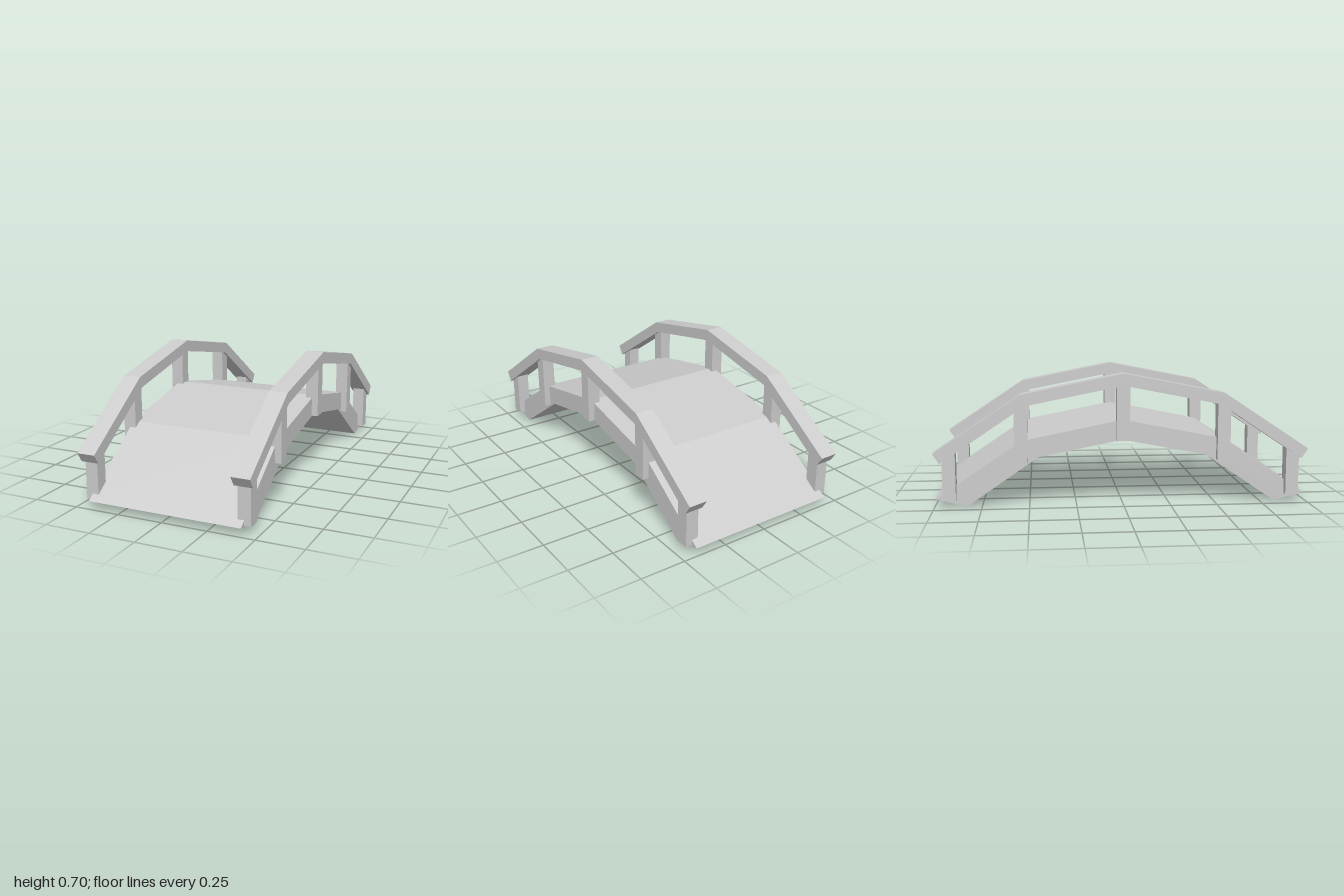
import * as THREE from 'three';

const material = new THREE.MeshStandardMaterial({ color: 0xcccccc, flatShading: true });

// Arched band: half profiles of [z, y] from the end to the crown, mirrored front to back
function archedBand(name, top, bottom, width, x) {
  const mirror = (half) => [...half, ...half.slice(0, -1).reverse().map(([z, y]) => [-z, y])];
  const outline = [...mirror(top), ...mirror(bottom).reverse()];
  const shape = new THREE.Shape(outline.map(([z, y]) => new THREE.Vector2(z, y)));
  const geometry = new THREE.ExtrudeGeometry(shape, { depth: width, bevelEnabled: false });
  geometry.translate(0, 0, -width / 2).rotateY(-Math.PI / 2);
  const mesh = new THREE.Mesh(geometry, material);
  mesh.name = name;
  mesh.position.x = x;
  return mesh;
}

export function createModel() {
  const bridge = new THREE.Group();
  bridge.name = 'archedFootbridge';

  // Walkway
  bridge.add(archedBand('deck',
    [[0.995, 0.042], [0.54, 0.348], [0, 0.455]],
    [[0.83, 0], [0.45, 0.26], [0, 0.347]], 0.85, 0));

  // Each post: z, bottom, top (the top is hidden inside the handrail)
  const posts = [
    [0, 0.345, 0.66],
    [0.542, 0.235, 0.55],
    [0.92, 0.04, 0.305],
  ];

  for (const side of [-1, 1]) {
    const railing = new THREE.Group();
    railing.name = side > 0 ? 'leftRailing' : 'rightRailing';

    railing.add(archedBand('handrail',
      [[1, 0.293], [0.54, 0.598], [0, 0.705]],
      [[0.965, 0.24], [0.52, 0.538], [0, 0.641]], 0.1, side * 0.425));

    for (const [z, bottom, top] of posts) {
      for (const end of z ? [-1, 1] : [1]) {
        const post = new THREE.Mesh(new THREE.BoxGeometry(0.07, top - bottom, 0.07), material);
        post.name = 'post';
        post.position.set(side * 0.425, (top + bottom) / 2, end * z);
        railing.add(post);
      }
    }
    bridge.add(railing);
  }
  return bridge;
}
